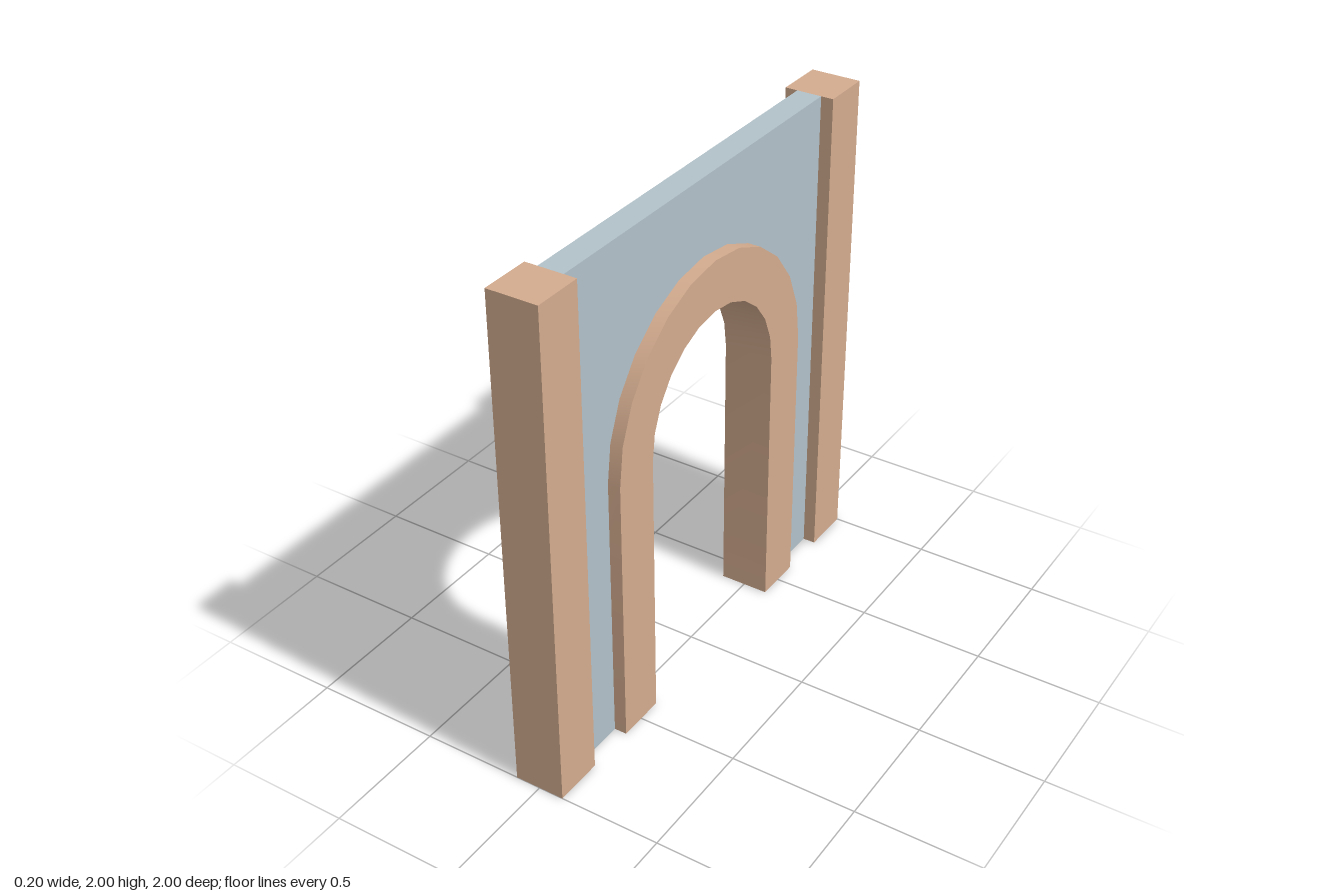
import * as THREE from 'three';
import { toCreasedNormals } from 'three/addons/utils/BufferGeometryUtils.js';

const SPRING = 1.1; // height where the arch curve starts

// Band following a round-headed opening: legs plus half circle
function addOpening(shape, radius) {
  shape.lineTo(radius, 0);
  shape.lineTo(radius, SPRING);
  shape.absarc(0, SPRING, radius, 0, Math.PI, false);
  shape.lineTo(-radius, 0);
}

// Extrude a shape drawn in the z-y plane, centred on x = 0
function slab(shape, thickness) {
  const geometry = new THREE.ExtrudeGeometry(shape, {
    depth: thickness, bevelEnabled: false, curveSegments: 6,
  });
  geometry.translate(0, 0, -thickness / 2);
  geometry.rotateY(Math.PI / 2);
  return toCreasedNormals(geometry, 0.5);
}

export function createModel() {
  const model = new THREE.Group();
  model.name = 'archedWall';
  const trim = new THREE.MeshStandardMaterial({ color: 0xd4ac8f });
  const plaster = new THREE.MeshStandardMaterial({ color: 0xb2c1c9 });

  const add = (name, geometry, material) => {
    const mesh = new THREE.Mesh(geometry, material);
    mesh.name = name;
    model.add(mesh);
    return mesh;
  };

  // Thin wall panel with the arch-shaped opening cut from its foot
  const wall = new THREE.Shape();
  wall.moveTo(0.8, 0);
  wall.lineTo(0.8, 2);
  wall.lineTo(-0.8, 2);
  wall.lineTo(-0.8, 0);
  wall.lineTo(-0.6, 0);
  wall.lineTo(-0.6, SPRING);
  wall.absarc(0, SPRING, 0.6, Math.PI, 0, true);
  wall.lineTo(0.6, 0);
  add('wallPanel', slab(wall, 0.1), plaster);

  // Thick arch surround
  const arch = new THREE.Shape();
  arch.moveTo(0.4, 0);
  addOpening(arch, 0.6);
  arch.lineTo(-0.4, 0);
  arch.lineTo(-0.4, SPRING);
  arch.absarc(0, SPRING, 0.4, Math.PI, 0, true);
  add('archSurround', slab(arch, 0.2), trim);

  // Square end pillars
  for (const [name, side] of [['frontPillar', 1], ['backPillar', -1]]) {
    add(name, new THREE.BoxGeometry(0.2, 2, 0.2), trim).position.set(0, 1, side * 0.9);
  }
  return model;
}
